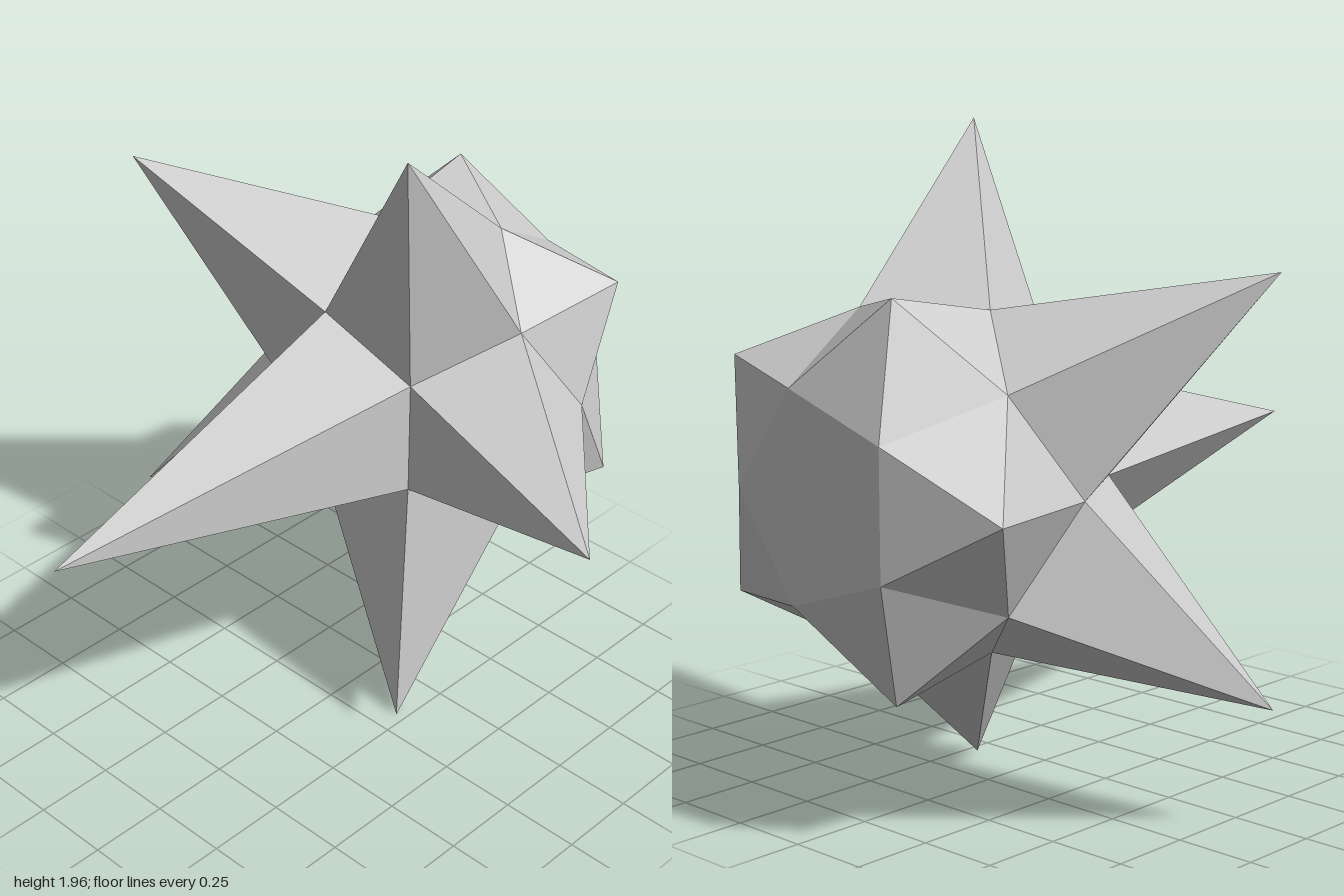
import * as THREE from 'three';

const INNER = 0.315, OUTER = 0.51;   // radii of the core's corner rings
const FACE = 0.412, MID = 0.0973;    // heights of those rings from the core's centre
const STEP = Math.PI * 2 / 5;

// Corner of the core: angle is counted in fifths of a turn around z
const corner = (r, z, k) => new THREE.Vector3(r * Math.cos(k * STEP), r * Math.sin(k * STEP), z);
const frontIn = k => corner(INNER, FACE, k);
const frontOut = k => corner(OUTER, MID, k);
const backOut = k => corner(OUTER, -MID, k);
const backIn = k => corner(INNER, -FACE, k);

// Five-sided pyramid over a counter-clockwise pentagon, its tip at a distance from the centre
function spike(name, base, reach, material) {
  const tip = base.reduce((sum, p) => sum.add(p), new THREE.Vector3()).setLength(reach);
  const points = base.flatMap((p, i) => [tip, p, base[(i + 1) % 5]]);
  const geometry = new THREE.BufferGeometry().setFromPoints(points);
  geometry.computeVertexNormals();
  const mesh = new THREE.Mesh(geometry, material);
  mesh.name = name;
  return mesh;
}

export function createModel() {
  const group = new THREE.Group();
  group.name = 'spikedStar';
  const grey = new THREE.MeshStandardMaterial({ color: 0xcccccc });
  grey.name = 'grey';
  grey.flatShading = true;

  const ring = [0, 1, 2, 3, 4];

  // Long front spike and flat back face
  group.add(spike('frontSpike', ring.map(k => frontIn(k + 0.5)), 1.59, grey));
  group.add(spike('backFace', ring.map(k => backIn(-k)), FACE, grey));

  for (const k of ring) {
    // Five long spikes around the front half
    group.add(spike('sideSpike' + (k + 1), [
      frontIn(k + 0.5), frontIn(k - 0.5), frontOut(k - 0.5), backOut(k), frontOut(k + 0.5),
    ], 1.152, grey));
    // Five low points around the back half
    group.add(spike('backPoint' + (k + 1), [
      frontOut(k + 0.5), backOut(k), backIn(k), backIn(k + 1), backOut(k + 1),
    ], 0.65, grey));
  }

  group.position.set(-0.1, 0.98, -0.59);
  const model = new THREE.Group();
  model.name = 'starModel';
  model.add(group);
  return model;
}
